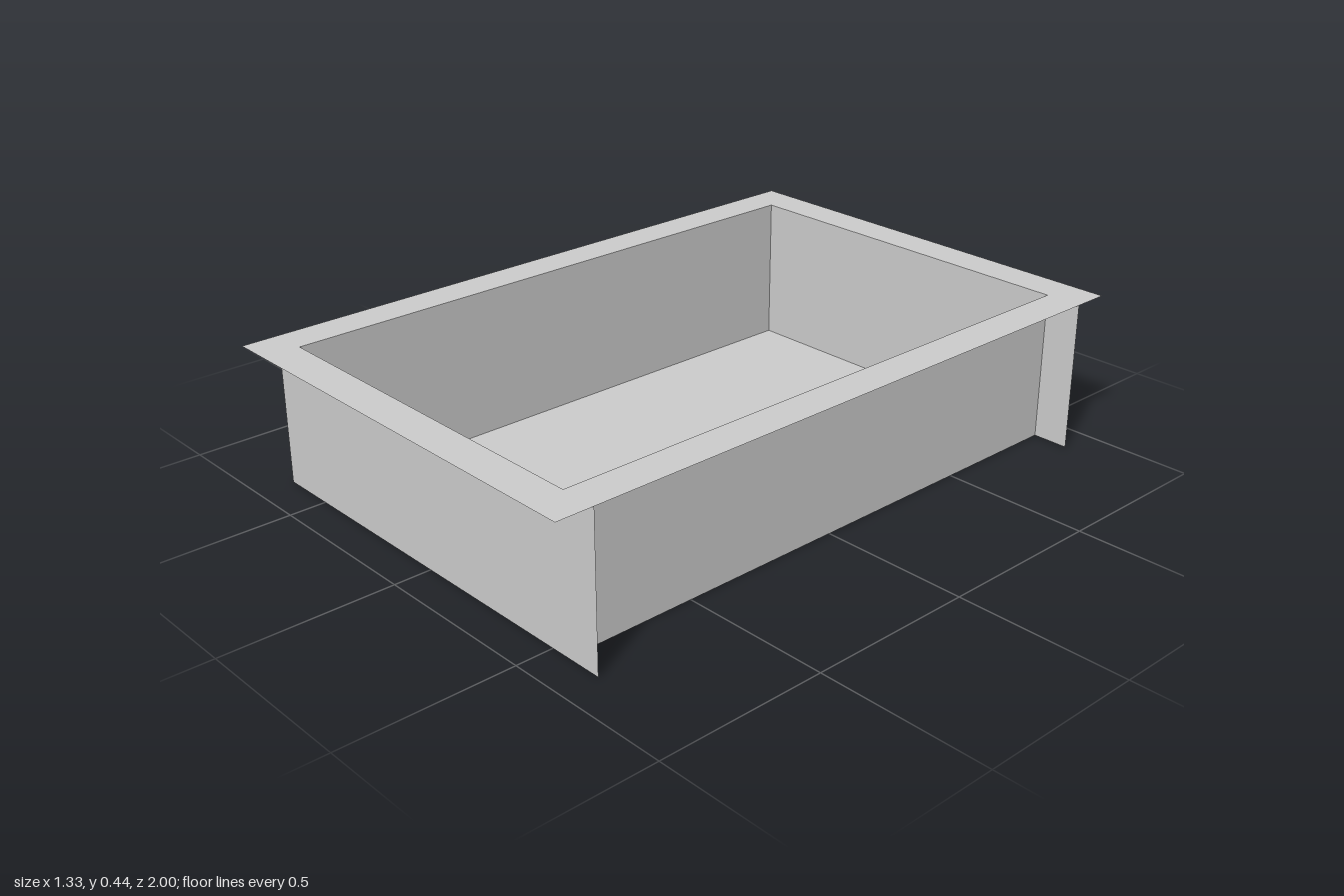
import * as THREE from 'three';

const HEIGHT = 0.445;
const OUTER_X = 0.667, OUTER_Z = 1;
const INNER_X = 0.558, INNER_Z = 0.89;

export function createModel() {
  const model = new THREE.Group();
  model.name = 'openTray';
  const material = new THREE.MeshStandardMaterial({ color: 0xcccccc, flatShading: true, side: THREE.DoubleSide });

  const add = (name, geometry) => {
    const mesh = new THREE.Mesh(geometry, material);
    mesh.name = name;
    model.add(mesh);
    return mesh;
  };

  // Flat rim: a sheet with a rectangular opening
  const corners = (x, z) => [[-x, -z], [x, -z], [x, z], [-x, z]].map(([a, b]) => new THREE.Vector2(a, b));
  const rimShape = new THREE.Shape(corners(OUTER_X, OUTER_Z));
  rimShape.holes.push(new THREE.Path(corners(INNER_X, INNER_Z).reverse()));
  const rim = add('rim', new THREE.ShapeGeometry(rimShape).rotateX(-Math.PI / 2));
  rim.position.y = HEIGHT;

  // Floor sheet
  add('floor', new THREE.PlaneGeometry(2 * INNER_X, 2 * INNER_Z).rotateX(-Math.PI / 2));

  // Side walls, and end panels that run on past them to the rim's full width
  for (const s of [1, -1]) {
    const turn = s > 0 ? 0 : Math.PI;
    const side = add(s > 0 ? 'leftWall' : 'rightWall', new THREE.PlaneGeometry(2 * INNER_Z, HEIGHT));
    side.rotation.y = Math.PI / 2 + turn;
    side.position.set(s * INNER_X, HEIGHT / 2, 0);

    const end = add(s > 0 ? 'frontPanel' : 'backPanel', new THREE.PlaneGeometry(2 * OUTER_X, HEIGHT));
    end.rotation.y = turn;
    end.position.set(0, HEIGHT / 2, s * INNER_Z);
  }
  return model;
}
